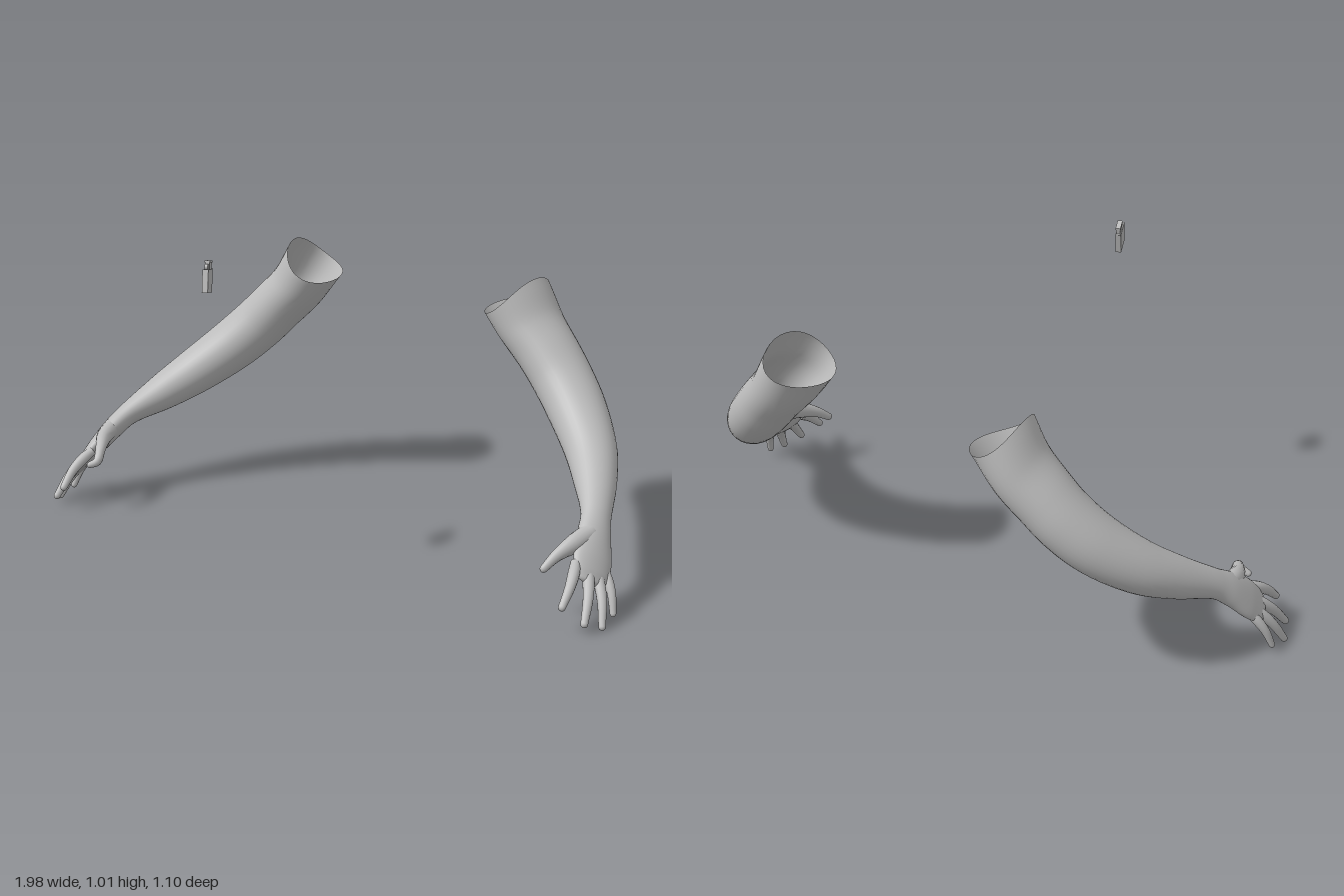
import * as THREE from 'three';

const skin = new THREE.MeshStandardMaterial({ color: 0xbcbcbc, side: THREE.DoubleSide });
skin.name = 'light grey';

// Sections are [x, y, z, wide radius, thin radius] along a limb.
const WIDE = new THREE.Vector3(-0.44, 0.32, 0.84);

// Smooth elliptical loft through the sections, with a rounded tip; `saddle` bends the first rim.
function loft(sections, steps, sides, mirror, saddle = 0) {
  const path = new THREE.CatmullRomCurve3(sections.map(s => new THREE.Vector3(s[0], s[1], s[2])));
  const radii = new THREE.CatmullRomCurve3(sections.map(s => new THREE.Vector3(s[3], s[4], 0)),
    false, 'catmullrom', 0.5);
  const pos = [], index = [];
  const tipStart = steps, tipRings = 4, rings = steps + tipRings;
  for (let i = 0; i <= rings; i++) {
    const t = Math.min(i / tipStart, 1);
    const c = path.getPoint(t), r = radii.getPoint(t), T = path.getTangent(t);
    const tip = Math.max(i - tipStart, 0) / tipRings * Math.PI / 2;
    c.addScaledVector(T, Math.sin(tip) * r.y);
    r.multiplyScalar(Math.max(Math.cos(tip), 0.01));
    const U = WIDE.clone().addScaledVector(T, -WIDE.dot(T)).normalize();
    const V = new THREE.Vector3().crossVectors(T, U);
    const bend = saddle * Math.max(0, 1 - t * 6);
    for (let j = 0; j < sides; j++) {
      const a = j / sides * Math.PI * 2;
      const p = c.clone().addScaledVector(U, Math.cos(a) * r.x).addScaledVector(V, Math.sin(a) * r.y)
        .addScaledVector(T, bend * Math.cos(2 * a));
      pos.push(p.x * mirror, p.y, p.z);
      if (i === rings) continue;
      const k = (j + 1) % sides, A = i * sides + j, B = i * sides + k, C = A + sides, D = B + sides;
      if (mirror > 0) index.push(A, B, C, B, D, C);
      else index.push(A, C, B, B, C, D);
    }
  }
  const g = new THREE.BufferGeometry();
  g.setAttribute('position', new THREE.Float32BufferAttribute(pos, 3));
  g.setIndex(index);
  g.computeVertexNormals();
  return g;
}

// Upper arm, elbow, forearm, wrist and palm
const ARM = [
  [0.37, 0.763, -0.425, 0.122, 0.097],
  [0.43, 0.675, -0.42, 0.115, 0.09],
  [0.50, 0.60, -0.405, 0.106, 0.088],
  [0.56, 0.535, -0.385, 0.101, 0.088],
  [0.635, 0.46, -0.34, 0.096, 0.085],
  [0.725, 0.378, -0.255, 0.083, 0.075],
  [0.79, 0.32, -0.16, 0.067, 0.06],
  [0.85, 0.265, -0.05, 0.049, 0.037],
  [0.874, 0.226, 0.005, 0.056, 0.033],
  [0.898, 0.178, 0.06, 0.067, 0.027],
  [0.914, 0.145, 0.095, 0.062, 0.02],
  [0.922, 0.13, 0.11, 0.05, 0.014],
];

// Knuckle, tip and radius of each finger
const FINGERS = {
  indexFinger: [[0.882, 0.165, 0.145], [0.897, 0.088, 0.245], 0.0165],
  middleFinger: [[0.912, 0.14, 0.115], [0.953, 0.037, 0.212], 0.0165],
  ringFinger: [[0.93, 0.125, 0.085], [0.983, 0.015, 0.157], 0.0155],
  littleFinger: [[0.938, 0.125, 0.05], [0.982, 0.03, 0.086], 0.014],
};

const THUMB = [
  [0.868, 0.235, 0.02, 0.03, 0.028],
  [0.852, 0.222, 0.085, 0.029, 0.025],
  [0.825, 0.198, 0.145, 0.018, 0.017],
  [0.806, 0.168, 0.187, 0.012, 0.011],
];
// The right thumb is bent over at the joint
const BENT_THUMB = [
  [0.868, 0.235, 0.02, 0.03, 0.028],
  [0.85, 0.224, 0.085, 0.028, 0.025],
  [0.812, 0.208, 0.155, 0.016, 0.016],
  [0.803, 0.178, 0.185, 0.015, 0.014],
  [0.825, 0.165, 0.195, 0.011, 0.01],
];

function makeArm(mirror, thumb, name) {
  const arm = new THREE.Group();
  arm.name = name;
  const add = (part, geometry) => {
    const m = new THREE.Mesh(geometry, skin);
    m.name = part;
    arm.add(m);
  };
  add('armAndPalm', loft(ARM, 60, 32, mirror, 0.015));
  add('thumb', loft(thumb, 16, 14, mirror));
  for (const [part, [k, tip, r]] of Object.entries(FINGERS)) {
    const at = (t, lift, s) => [
      ...k.map((v, i) => v + (tip[i] - v) * t + (i === 2 ? 0 : lift)), r * s, r * s];
    add(part, loft([at(-0.25, -0.004, 0.9), at(0.1, 0.003, 1.05), at(0.5, 0.006, 0.92), at(0.98, 0, 0.68)],
      16, 14, mirror));
  }
  return arm;
}

// Small pocket lighter floating ahead of the arms
function makeLighter() {
  const g = new THREE.Group();
  g.name = 'lighter';
  const add = (name, geometry, y, z) => {
    const m = new THREE.Mesh(geometry, skin);
    m.name = name;
    m.position.set(0, y, z);
    g.add(m);
    return m;
  };
  add('case', new THREE.BoxGeometry(0.017, 0.066, 0.067), 0, 0);
  add('chimney', new THREE.BoxGeometry(0.012, 0.024, 0.036), 0.044, -0.012);
  add('chimneyCap', new THREE.BoxGeometry(0.015, 0.006, 0.04), 0.055, -0.012);
  add('sparkWheel', new THREE.CylinderGeometry(0.008, 0.008, 0.009, 14), 0.04, 0.017).rotation.z = Math.PI / 2;
  add('hinge', new THREE.CylinderGeometry(0.003, 0.003, 0.014, 10), 0.034, -0.032).rotation.z = Math.PI / 2;
  g.rotation.set(-0.25, 0.43, 0, 'YXZ');
  g.position.set(-0.123, 0.958, 0.512);
  return g;
}

export function createModel() {
  const model = new THREE.Group();
  model.name = 'armsAndLighter';
  model.add(makeArm(1, THUMB, 'leftArm'), makeArm(-1, BENT_THUMB, 'rightArm'), makeLighter());
  return model;
}
